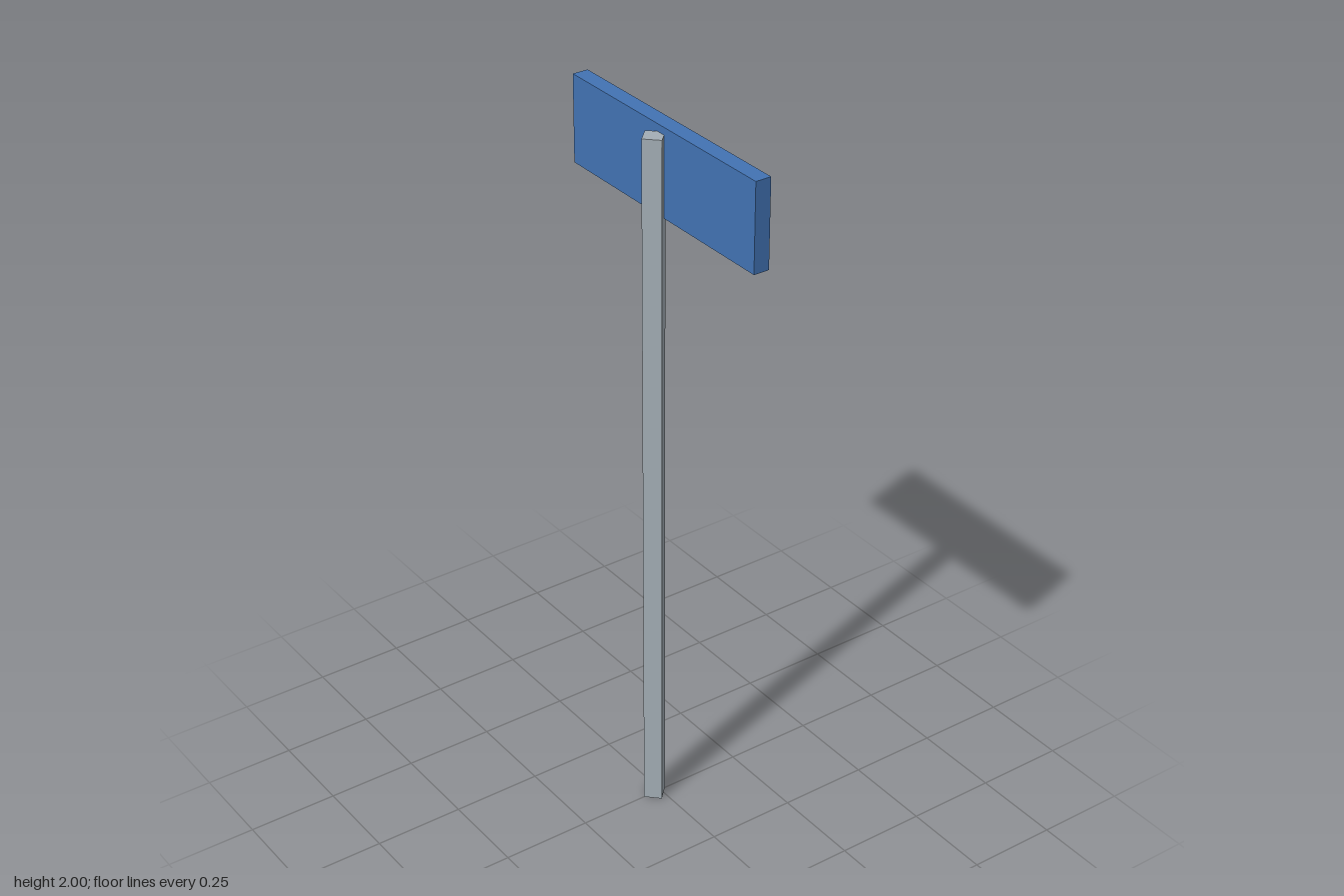
import * as THREE from 'three';

const material = (name, color) => {
  const m = new THREE.MeshStandardMaterial({ color });
  m.name = name;
  return m;
};

export function createModel() {
  const group = new THREE.Group();
  group.name = 'signpost';
  const blue = material('signBlue', 0x4273b3);
  const grey = material('postGrey', 0xa3aeb5);
  const cream = material('stripCream', 0xd2d2c6);

  const add = (name, geometry, mat, x, y, z) => {
    const mesh = new THREE.Mesh(geometry, mat);
    mesh.name = name;
    mesh.position.set(x, y, z);
    group.add(mesh);
  };

  // Square post turned corner-forward, its rear edge sunk into the board
  const post = new THREE.CylinderGeometry(0.035, 0.035, 1.98, 4).toNonIndexed();
  post.computeVertexNormals();
  add('post', post, grey, 0, 0.99, 0.02);

  // Sign board
  add('signBoard', new THREE.BoxGeometry(0.746, 0.24, 0.044), blue, 0, 1.88, -0.023);

  // Raised strip on the back face
  add('raisedStrip', new THREE.BoxGeometry(0.57, 0.046, 0.011), cream, 0, 1.88, -0.0505);

  return group;
}
